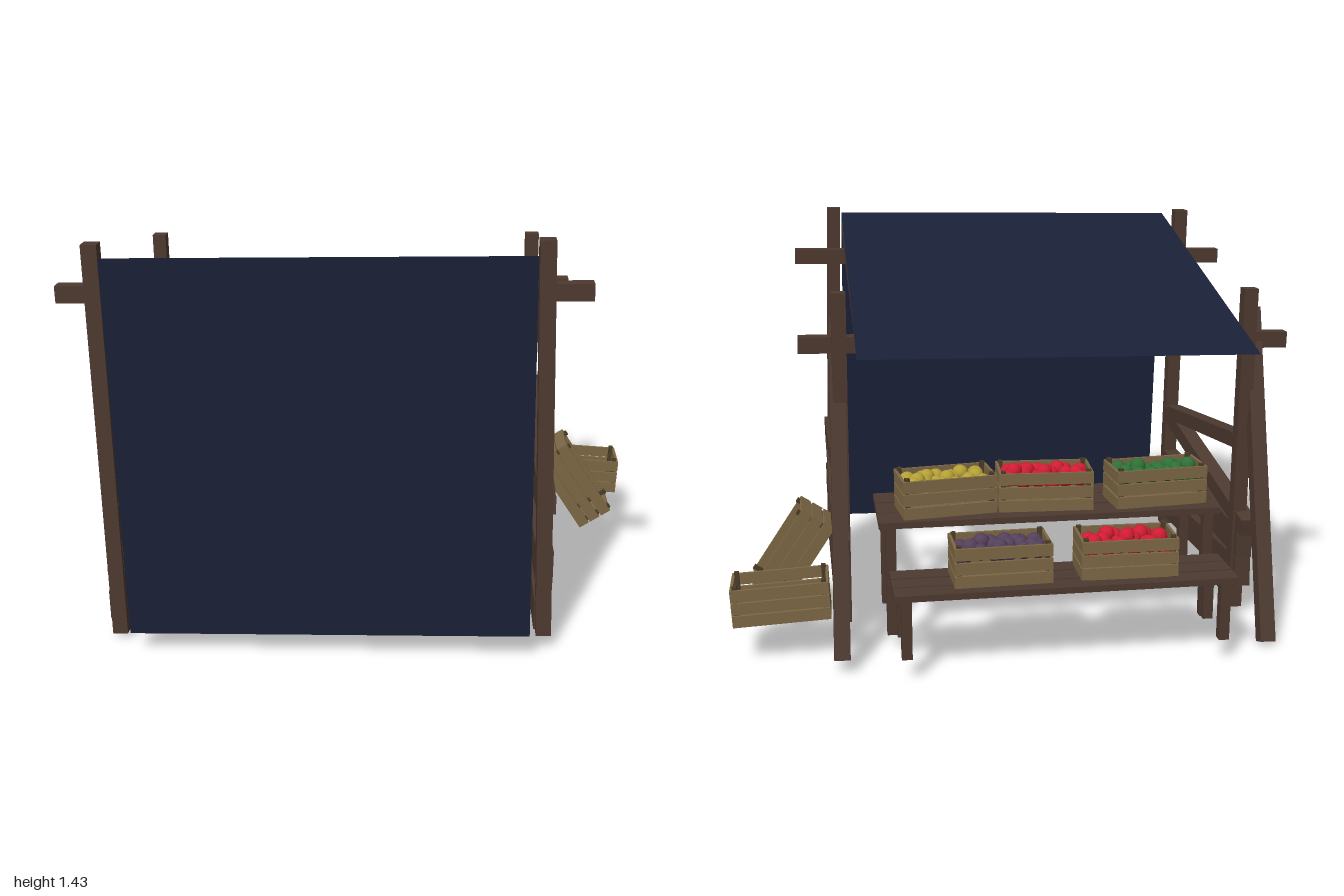
import * as THREE from 'three';

const mat = (color, side = THREE.FrontSide) => new THREE.MeshStandardMaterial({ color, side });
const wood = mat(0x4d3a30), crateWood = mat(0x7d6845), crateDark = mat(0x4a3d28);
const cloth = mat(0x1a2036, THREE.DoubleSide);
const fruitMats = { red: mat(0xd01c33), purple: mat(0x54405a), yellow: mat(0xb5a035), green: mat(0x2f7037) };

let seed = 7;
const rand = () => (seed = (seed * 16807) % 2147483647) / 2147483647;
const jitter = (a) => (rand() - 0.5) * 2 * a;

function box(parent, name, size, pos, material = wood) {
  const m = new THREE.Mesh(new THREE.BoxGeometry(...size), material);
  m.name = name;
  m.position.set(...pos);
  parent.add(m);
  return m;
}

// Timber running from point a to point b; w and h are its cross-section
function beam(parent, name, a, b, w, h) {
  const A = new THREE.Vector3(...a), B = new THREE.Vector3(...b);
  const m = box(parent, name, [w, h, A.distanceTo(B)], A.clone().add(B).multiplyScalar(0.5).toArray());
  const d = B.clone().sub(A).normalize();
  if (Math.abs(d.y) > 0.7) m.up.set(0, 0, 1);
  m.lookAt(B);
}

// Flat cloth sheet: corners top left, top right, bottom left, bottom right
function sheet(parent, name, corners) {
  const g = new THREE.PlaneGeometry(1, 1);
  corners.forEach((c, i) => g.attributes.position.setXYZ(i, ...c));
  g.computeVertexNormals();
  const m = new THREE.Mesh(g, cloth);
  m.name = name;
  parent.add(m);
}

// Open slatted crate, origin at the middle of its base
const L = 0.33, W = 0.17, H = 0.14, T = 0.01;
function crate(parent, name, pos, rot, fruit) {
  const g = new THREE.Group();
  g.name = name;
  g.position.set(...pos);
  g.rotation.set(...rot);
  const slat = H / 3;
  for (let i = 0; i < 3; i++) {
    const y = slat * (i + 0.5), h = slat - 0.006;
    for (const s of [-1, 1]) {
      box(g, 'crateSideSlat', [L, h, T], [0, y + jitter(0.002), s * (W - T) / 2], crateWood);
      box(g, 'crateEndSlat', [T, h, W - 2 * T], [s * (L - T) / 2, y + jitter(0.002), 0], crateWood);
    }
    box(g, 'crateFloorSlat', [L - 2 * T, T, W / 3 - 0.008], [0, T / 2, (i - 1) * (W / 3 - 0.004)], crateWood);
  }
  for (const sx of [-1, 1]) for (const sz of [-1, 1])
    box(g, 'crateCorner', [0.016, H + 0.006, 0.016],
      [sx * (L / 2 - T - 0.006), H / 2 + 0.003, sz * (W / 2 - T - 0.006)], crateDark);
  if (fruit) {
    const ball = new THREE.SphereGeometry(0.029, 14, 10);
    // Bed of fruit with a loose second layer on top
    const add = (x, y, z) => {
      const m = new THREE.Mesh(ball, fruitMats[fruit]);
      m.name = fruit + 'Fruit';
      m.position.set(x + jitter(0.007), y + jitter(0.008), z + jitter(0.005));
      g.add(m);
    };
    for (let i = 0; i < 6; i++) for (let j = 0; j < 3; j++)
      add((i - 2.5) * 0.05, 0.105, (j - 1) * 0.045);
    for (let i = 0; i < 5; i++) add((i - 2) * 0.055, 0.122, (i % 2 ? 1 : -1) * 0.022);
  }
  parent.add(g);
}

// Plank table: x range, z range, height of the top, foot height
function table(parent, name, [x0, x1], [z0, z1], top, foot) {
  const g = new THREE.Group();
  g.name = name;
  const n = 3, w = (z1 - z0) / n, cx = (x0 + x1) / 2;
  for (let i = 0; i < n; i++) {
    const m = box(g, 'tablePlank', [x1 - x0, 0.022, w - 0.008], [cx, top - 0.011, z0 + w * (i + 0.5)]);
    m.rotation.y = jitter(0.004);
  }
  for (const x of [x0 + 0.04, x1 - 0.04]) {
    box(g, 'tableCrossbar', [0.035, 0.025, z1 - z0 - 0.02], [x, top - 0.034, (z0 + z1) / 2]);
    for (const z of [z0 + 0.03, z1 - 0.03])
      box(g, 'tableLeg', [0.035, top - 0.022 - foot, 0.035], [x, (top - 0.022 + foot) / 2, z]);
  }
  parent.add(g);
}

export function createModel() {
  const root = new THREE.Group();
  root.name = 'marketStall';
  seed = 7;

  // Side frames: posts, raking leg, rafter and boards
  const sides = [
    { name: 'right', foot: -0.84, head: -0.86, rafter: -0.783, board: -0.846, y0: 0.005, y1: 1.38, rear: 1.2 },
    { name: 'left', foot: 0.62, head: 0.58, rafter: 0.518, board: 0.615, y0: 0.035, y1: 1.41, rear: 1.22 },
  ];
  for (const s of sides) {
    const g = new THREE.Group();
    g.name = s.name + 'SideFrame';
    root.add(g);
    const out = Math.sign(s.foot);
    beam(g, 'frontPost', [s.foot, s.y0, 0.645], [s.head, s.y1, 0.645], 0.052, 0.052);
    beam(g, 'rearPost', [s.foot - out * 0.01, s.y0 + 0.005, -0.325], [s.head + 0.02, s.rear, -0.325], 0.05, 0.05);
    beam(g, 'rakingLeg', [s.foot + out * 0.01, s.y0 - 0.01, -0.635], [s.head + out * 0.025, 1.11, -0.22], 0.054, 0.052);
    const dy = (s.y0 - 0.035) * 0.8;
    beam(g, 'rafter', [s.rafter, 1.31 + dy, 0.725], [s.rafter, 1.037 + dy, -0.405], 0.055, 0.07);
    // Boards as front y, rear y, front z, rear z, height
    for (const [ya, yb, za, zb, h] of [
      [0.105, 0.155, 0.652, -0.37, 0.11], [0.285, 0.27, 0.652, -0.375, 0.115],
      [0.512, 0.34, 0.65, -0.415, 0.062], [0.52, 0.635, 0.6, -0.28, 0.055],
    ]) beam(g, 'sideBoard', [s.board, ya, za], [s.board, yb, zb], 0.058, h);
  }

  // Cross beams jutting out past the posts
  beam(root, 'frontCrossBeam', [-1, 1.197, 0.572], [0.74, 1.227, 0.572], 0.05, 0.057);
  beam(root, 'rearCrossBeam', [-1, 1.003, -0.263], [0.74, 1.033, -0.263], 0.05, 0.057);

  // Cloth roof and hanging front wall
  sheet(root, 'roofCloth', [[-0.805, 1.013, -0.57], [0.553, 1.037, -0.572], [-0.812, 1.357, 0.752], [0.546, 1.38, 0.75]]);
  sheet(root, 'wallCloth', [[-0.812, 1.357, 0.752], [0.546, 1.38, 0.75], [-0.785, 0.052, 0.75], [0.567, 0.076, 0.75]]);

  // Two display tables, the lower one behind the higher one
  table(root, 'upperTable', [-0.71, 0.49], [-0.5, -0.15], 0.452, 0.04);
  table(root, 'lowerTable', [-0.7, 0.46], [-0.755, -0.51], 0.287, 0.06);

  // Filled crates
  crate(root, 'yellowCrate', [0.25, 0.453, -0.38], [0, 0.12, 0], 'yellow');
  crate(root, 'redCrate', [-0.1, 0.453, -0.37], [0, -0.06, 0], 'red');
  crate(root, 'greenCrate', [-0.5, 0.453, -0.38], [0, 0.08, 0], 'green');
  crate(root, 'purpleCrate', [0.095, 0.288, -0.63], [0, 0.02, 0], 'purple');
  crate(root, 'lowerRedCrate', [-0.335, 0.288, -0.63], [0, -0.02, 0], 'red');

  // Empty crates beside the stall, one leaning
  crate(root, 'emptyCrate', [0.823, 0.129, -0.463], [0, -0.02, -0.05]);
  crate(root, 'leaningCrate', [0.725, 0.225, -0.185], [0, 0, -0.985]);

  return root;
}
